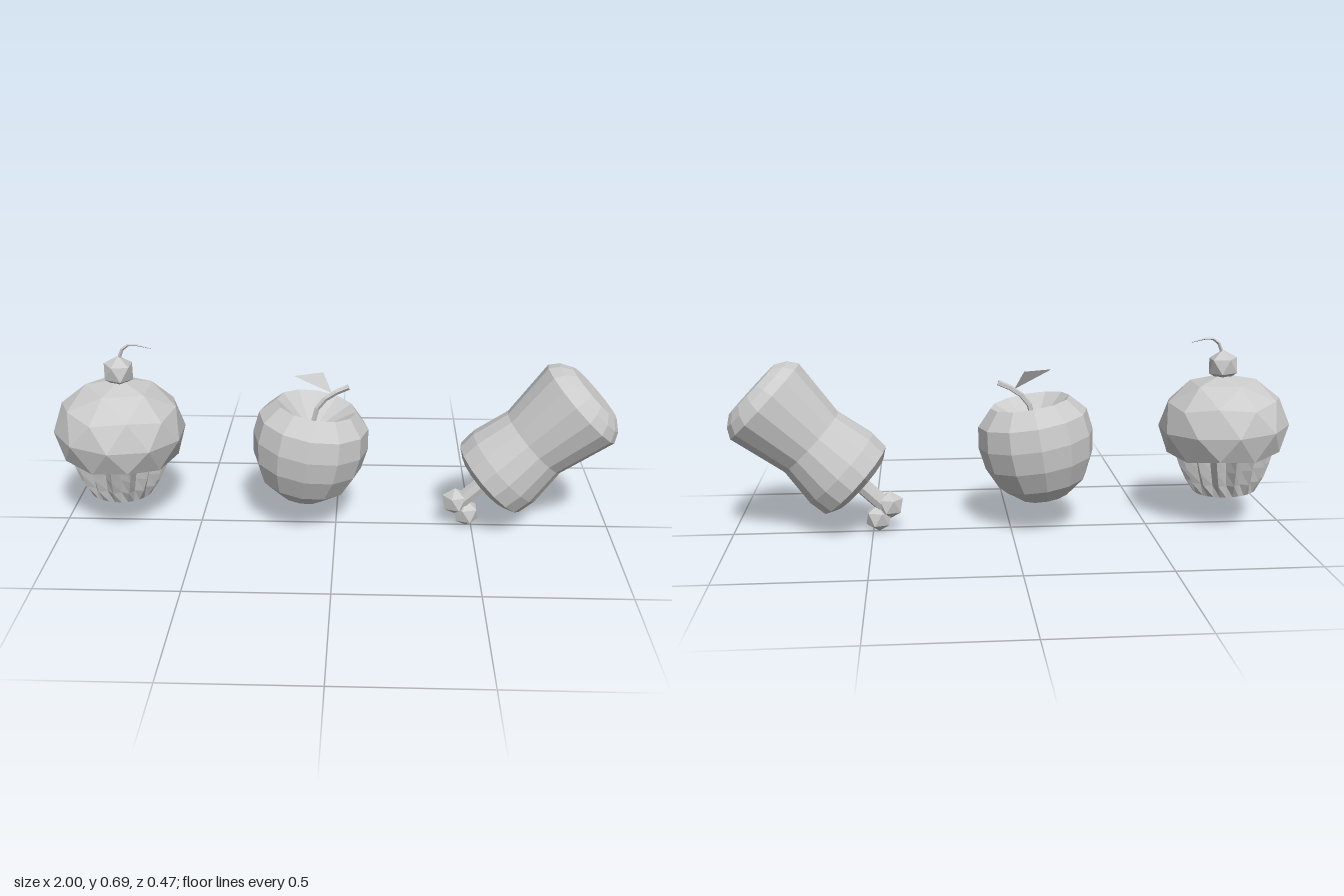
import * as THREE from 'three';

const material = new THREE.MeshStandardMaterial({ color: 0xcccccc, flatShading: true });
const thinMaterial = new THREE.MeshStandardMaterial({ color: 0xcccccc, flatShading: true, side: THREE.DoubleSide });

function part(name, geometry, parent, x = 0, y = 0, z = 0, mat = material) {
  const mesh = new THREE.Mesh(geometry, mat);
  mesh.name = name;
  mesh.position.set(x, y, z);
  parent.add(mesh);
  return mesh;
}

// Turned solid; profile of [radius, height] from bottom to top
function turned(profile, sides) {
  return new THREE.LatheGeometry(profile.map(([r, h]) => new THREE.Vector2(r, h)), sides);
}

// Faceted ball with one corner pointing straight up
function ball(radius, detail = 0) {
  return new THREE.IcosahedronGeometry(radius, detail).rotateZ(Math.atan(2 / (1 + Math.sqrt(5))));
}

// Bent stalk whose thickness changes from radius to radius * endScale
function stalk(points, radius, endScale, segments = 5, sides = 5) {
  const curve = new THREE.CatmullRomCurve3(points.map(p => new THREE.Vector3(...p)));
  const geometry = new THREE.TubeGeometry(curve, segments, radius, sides);
  const pos = geometry.attributes.position;
  const v = new THREE.Vector3();
  for (let i = 0; i < pos.count; i++) {
    const t = Math.floor(i / (sides + 1)) / segments;
    const centre = curve.getPointAt(t);
    v.fromBufferAttribute(pos, i).sub(centre).multiplyScalar(1 + (endScale - 1) * t).add(centre);
    pos.setXYZ(i, v.x, v.y, v.z);
  }
  geometry.computeVertexNormals();
  return geometry;
}

function createCupcake() {
  const cupcake = new THREE.Group();
  cupcake.name = 'cupcake';
  cupcake.position.set(-0.777, 0.375, 0);
  cupcake.rotation.z = -0.06;

  // Domed top with a flattened underside
  const dome = ball(1, 1);
  const dp = dome.attributes.position;
  for (let i = 0; i < dp.count; i++) {
    dp.setXYZ(i, dp.getX(i) * 0.235, Math.max(dp.getY(i), -0.54) * 0.19, dp.getZ(i) * 0.235);
  }
  dome.computeVertexNormals();
  part('cakeTop', dome, cupcake);

  // Paper cup: every second line of points is pulled in to make the folds
  const profile = [[0, -0.242], [0.115, -0.242], [0.143, -0.195], [0.165, -0.14], [0.188, -0.065]];
  const fold = [1, 1, 0.87, 0.83, 0.8];
  const cup = turned(profile, 32);
  const cp = cup.attributes.position;
  for (let i = 0; i < cp.count; i++) {
    if (Math.floor(i / profile.length) % 2 === 0) continue;
    const k = fold[i % profile.length];
    cp.setXYZ(i, cp.getX(i) * k, cp.getY(i), cp.getZ(i) * k);
  }
  cup.computeVertexNormals();
  part('paperCup', cup, cupcake, 0, 0, 0, thinMaterial);

  part('cherry', ball(0.058), cupcake, -0.004, 0.22, 0);
  part('cherryStem', stalk([[0, 0.25, 0], [0.006, 0.295, 0], [0.034, 0.321, 0], [0.112, 0.312, 0]], 0.008, 0.15, 6, 4),
    cupcake, 0, 0, 0, thinMaterial);
  return cupcake;
}

function createApple() {
  const apple = new THREE.Group();
  apple.name = 'apple';

  // Body with a hollow at the top and a dimple underneath
  const body = part('appleBody', turned([
    [0, -0.15], [0.088, -0.177], [0.16, -0.12], [0.197, -0.04], [0.209, 0.04],
    [0.198, 0.117], [0.143, 0.176], [0.06, 0.115], [0, 0.08],
  ], 12), apple, -0.097, 0.3, 0);
  body.rotation.z = -0.16;

  part('appleStem', stalk([[-0.085, 0.37, 0], [-0.068, 0.46, 0], [-0.025, 0.51, 0], [0.045, 0.545, 0]], 0.009, 1.2),
    apple, 0, 0, 0, thinMaterial);

  // Single leaf
  const leaf = new THREE.BufferGeometry();
  leaf.setAttribute('position', new THREE.Float32BufferAttribute(
    [-0.013, 0.52, 0, -0.045, 0.588, -0.03, -0.147, 0.588, 0.01], 3));
  leaf.computeVertexNormals();
  part('leaf', leaf, apple, 0, 0, 0, thinMaterial);
  return apple;
}

function createDrumstick() {
  const drumstick = new THREE.Group();
  drumstick.name = 'drumstick';

  const shank = new THREE.Group();
  shank.name = 'shank';
  shank.position.set(0.728, 0.361, 0);
  shank.rotation.z = THREE.MathUtils.degToRad(43.8 - 90);
  drumstick.add(shank);

  // Waisted meat
  part('meat', turned([
    [0, -0.255], [0.125, -0.255], [0.163, -0.232], [0.168, -0.165], [0.144, -0.025],
    [0.18, 0.19], [0.157, 0.225], [0.118, 0.25], [0, 0.25],
  ], 16), shank);
  part('bone', new THREE.CylinderGeometry(0.03, 0.03, 0.18, 8), shank, 0, -0.305, 0);

  // Two knobs at the end of the bone
  for (const [x, y] of [[0.437, 0.102], [0.479, 0.055]]) part('boneKnob', ball(0.051), drumstick, x, y, 0);
  return drumstick;
}

export function createModel() {
  const model = new THREE.Group();
  model.name = 'foodSet';
  model.add(createCupcake(), createApple(), createDrumstick());
  return model;
}
